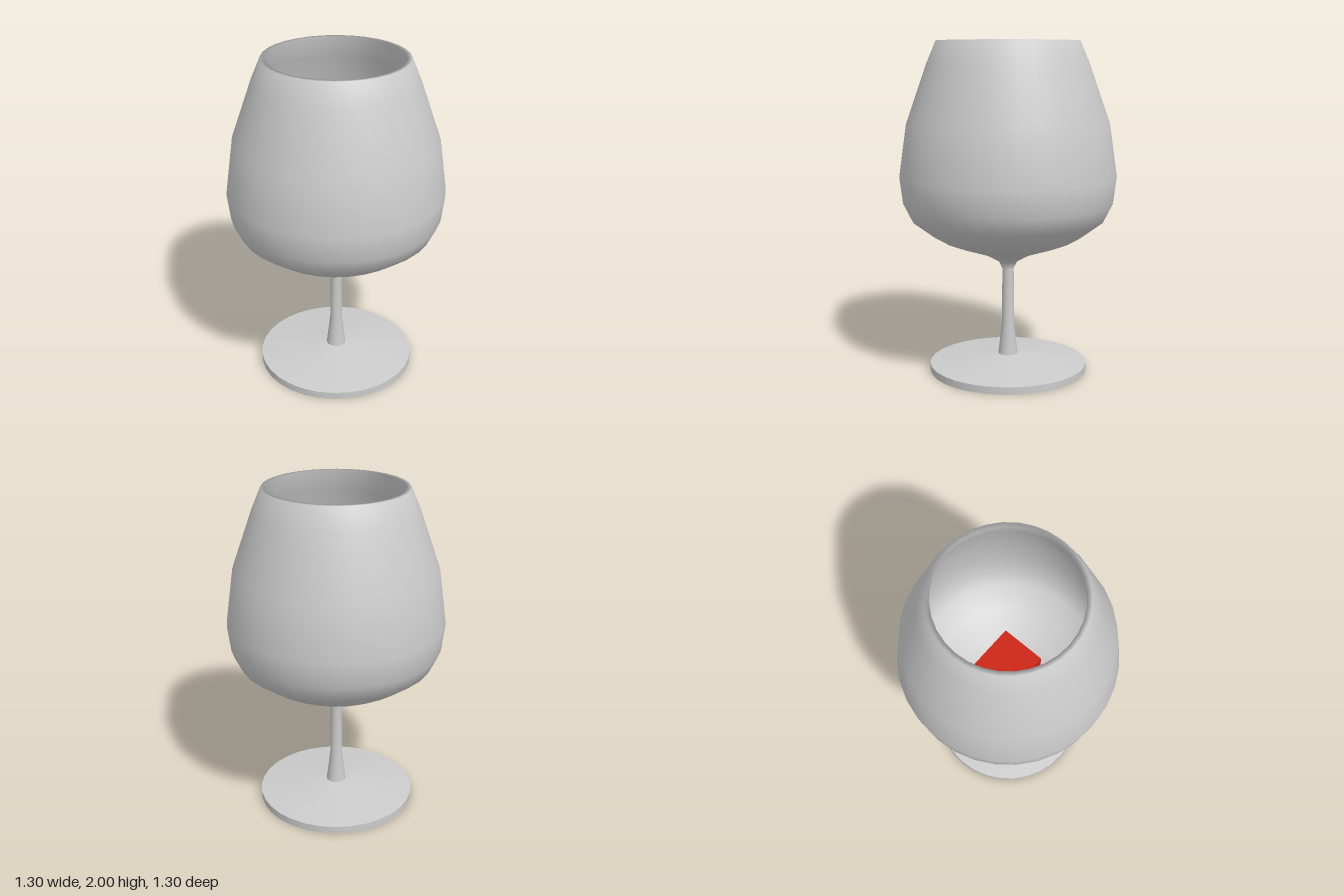
import * as THREE from 'three';

const SIDES = 32;

function lathe(name, points, material) {
  const profile = points.map(([r, y]) => new THREE.Vector2(r, y));
  const mesh = new THREE.Mesh(new THREE.LatheGeometry(profile, SIDES), material);
  mesh.name = name;
  return mesh;
}

export function createModel() {
  const group = new THREE.Group();
  group.name = 'goblet';
  const grey = new THREE.MeshStandardMaterial({ color: 0xcccccc });
  const red = new THREE.MeshStandardMaterial({ color: 0xcc220f });

  // Foot: flat underside and thin vertical edge
  const underside = new THREE.Mesh(new THREE.CircleGeometry(0.48, SIDES), grey);
  underside.name = 'footUnderside';
  underside.rotation.x = Math.PI / 2;
  group.add(underside);
  group.add(lathe('footEdge', [[0.48, 0], [0.48, 0.045]], grey));

  // Sloping top of the foot
  group.add(lathe('footTop', [[0.48, 0.045], [0.06, 0.095]], grey));

  // Stem flowing into the bowl, over the rim and down the inner wall
  group.add(lathe('stemAndBowl', [
    [0.06, 0.095], [0.037, 0.29], [0.035, 0.63], [0.055, 0.675],
    [0.145, 0.725], [0.31, 0.78], [0.39, 0.81], [0.46, 0.85],
    [0.58, 0.94], [0.63, 1.04], [0.65, 1.2], [0.605, 1.515],
    [0.48, 1.87], [0.425, 2], [0.398, 2],
    [0.45, 1.86], [0.575, 1.51], [0.615, 1.2], [0.6, 1.05],
    [0.555, 0.96], [0.44, 0.875], [0.3, 0.81], [0.14, 0.76], [0, 0.735],
  ], grey));

  // Red cube resting in the bottom of the bowl
  const cube = new THREE.Mesh(new THREE.BoxGeometry(0.28, 0.28, 0.28), red);
  cube.name = 'cube';
  cube.position.y = 0.93;
  group.add(cube);

  return group;
}
